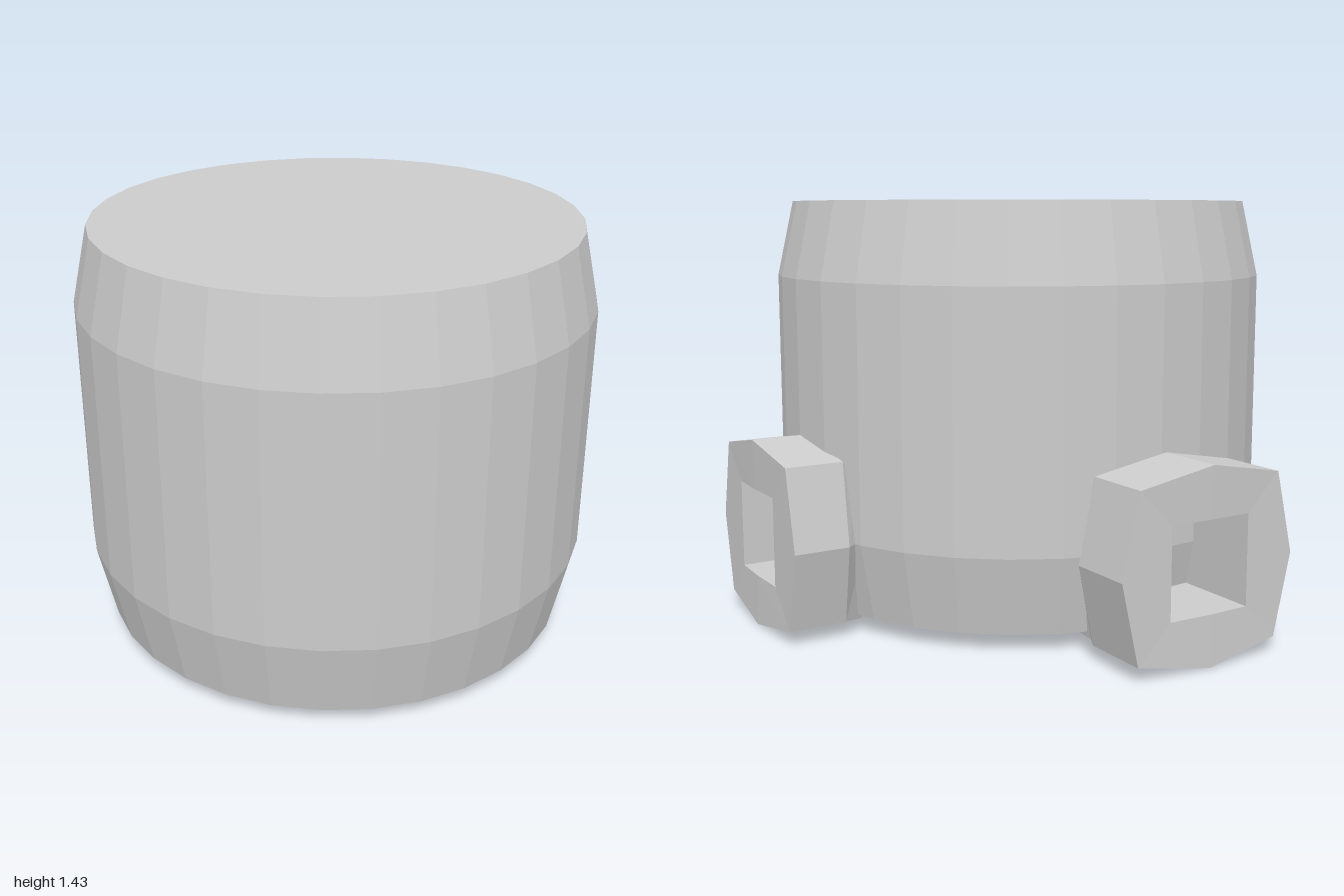
import * as THREE from 'three';

const CX = 0.1275, CZ = 0.0825;   // body axis
const BASE = 0.055;               // height of the body's underside

const grey = new THREE.MeshStandardMaterial({ color: 0xcccccc });
grey.name = 'light grey';

// Non-indexed geometry from triangles of Vector3, so every face stays flat
function fromTriangles(tris) {
  const g = new THREE.BufferGeometry().setFromPoints(tris.flat());
  g.computeVertexNormals();
  return g;
}

// Eight points, counter-clockwise: corners at (+-c), edge middles at (+-m)
function loop(c, m, zMid, zCorner, zSide = zMid) {
  return Array.from({ length: 8 }, (_, i) => {
    const a = i * Math.PI / 4;
    const x = Math.sign(Math.round(Math.cos(a) * 10));
    const y = Math.sign(Math.round(Math.sin(a) * 10));
    const corner = x !== 0 && y !== 0;
    const r = corner ? c : m;
    return new THREE.Vector3(x * r, y * r, corner ? zCorner : (x !== 0 ? zSide : zMid));
  });
}

// Square-holed socket pointing along +z, running into the body
function socketGeometry(end, shoulder) {
  const neck = loop(0.22, 0.26, shoulder - 0.09, shoulder - 0.09);
  const root = loop(0.2, 0.24, 0.63, 0.63);
  // the lower side stays straight instead of narrowing
  for (const ring of [neck, root]) {
    ring[5].y = ring[7].y = -0.285;
    ring[6].y = -0.317;
  }
  const rings = [
    loop(0.15, 0.15, end - 0.4, end - 0.4),
    loop(0.15, 0.15, end - 0.005, end - 0.01, end - 0.01),
    loop(0.27, 0.32, end, end - 0.01, end - 0.01),
    loop(0.27, 0.32, shoulder, shoulder - 0.01),
    neck, root,
  ];
  for (const i of [0, 4]) for (const k of [2, 3]) rings[k][i].x *= 0.333 / 0.32;
  const tris = [];
  for (let k = 0; k < rings.length - 1; k++) {
    const a = rings[k], b = rings[k + 1];
    for (let i = 0; i < 8; i++) {
      const j = (i + 1) % 8;
      tris.push([a[i], b[i], b[j]], [a[i], b[j], a[j]]);
    }
  }
  // floor of the hole
  const centre = new THREE.Vector3(0, 0, end - 0.4);
  rings[0].forEach((p, i) => tris.push([centre, p, rings[0][(i + 1) % 8]]));
  return fromTriangles(tris);
}

// Shallow ramp that blends a socket's lowest point into the underside
function rampGeometry(side) {
  const apex = new THREE.Vector3(0, 0.004, 0.63);
  const rim = [[0, -0.25], [side * 0.665, 0.46], [side * 0.2, 0.68], [-side * 0.2, 0.68], [-side * 0.435, 0.5]]
    .map(([x, z]) => new THREE.Vector3(x, BASE, z));
  return fromTriangles(rim.map((p, i) => {
    const q = rim[(i + 1) % rim.length];
    return side > 0 ? [apex, p, q] : [apex, q, p];
  }).map((t) => {
    // keep every ramp face turned downward
    const n = new THREE.Triangle(...t).getNormal(new THREE.Vector3());
    return n.y > 0 ? [t[0], t[2], t[1]] : t;
  }));
}

export function createModel() {
  const model = new THREE.Group();
  model.name = 'barrelWithSockets';

  // Barrel body with bevelled top and bottom
  const profile = [[0, BASE], [0.815, BASE], [0.8725, 0.32], [0.8725, 1.17], [0.815, 1.43], [0, 1.43]]
    .map(([r, y]) => new THREE.Vector2(r, y));
  const bodyGeometry = new THREE.LatheGeometry(profile, 32).toNonIndexed();
  bodyGeometry.computeVertexNormals();
  const body = new THREE.Mesh(bodyGeometry, grey);
  body.name = 'body';
  body.position.set(CX, 0, CZ);
  model.add(body);

  // Right and back sockets
  const sockets = [
    { name: 'rightSocket', turn: -Math.PI / 2, end: 1.1275, shoulder: 0.895, side: 1 },
    { name: 'backSocket', turn: Math.PI, end: 1.0425, shoulder: 0.845, side: -1 },
  ];
  for (const s of sockets) {
    const group = new THREE.Group();
    group.name = s.name;
    group.position.set(CX, 0, CZ);
    group.rotation.y = s.turn;
    const tube = new THREE.Mesh(socketGeometry(s.end, s.shoulder), grey);
    tube.name = s.name + 'Tube';
    tube.position.y = 0.32;
    const ramp = new THREE.Mesh(rampGeometry(s.side), grey);
    ramp.name = s.name + 'Ramp';
    group.add(tube, ramp);
    model.add(group);
  }
  return model;
}
